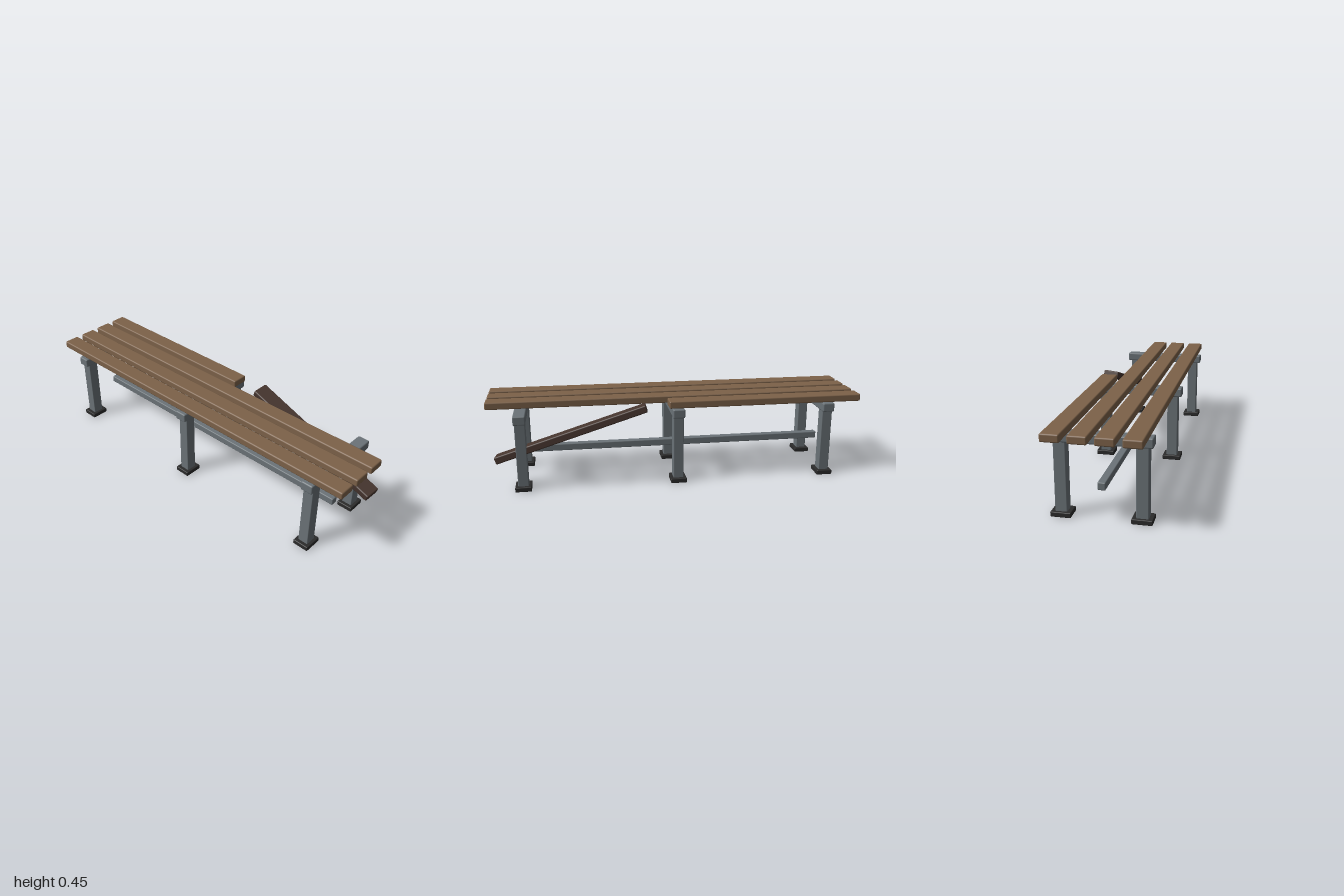
import * as THREE from 'three';
import { RoundedBoxGeometry } from 'three/addons/geometries/RoundedBoxGeometry.js';

const material = (name, color) => {
  const m = new THREE.MeshStandardMaterial({ color });
  m.name = name;
  return m;
};

export function createModel() {
  const wood = material('weathered wood', 0x7d6249);
  const darkWood = material('dark broken wood', 0x46352e);
  const steel = material('grey steel', 0x6b7378);
  const rubber = material('black foot', 0x2b2b2b);

  const bench = new THREE.Group();
  bench.name = 'bench';

  // Box with softly rounded edges
  const addBox = (parent, name, mat, size, position, radius) => {
    const mesh = new THREE.Mesh(new RoundedBoxGeometry(...size, 2, radius), mat);
    mesh.name = name;
    mesh.position.set(...position);
    parent.add(mesh);
    return mesh;
  };

  // Three trestle frames: crossbar, two legs, two feet
  const midZ = 0.004;
  for (const [name, x] of [['rightFrame', -0.82], ['middleFrame', -0.002], ['leftFrame', 0.82]]) {
    const frame = new THREE.Group();
    frame.name = name;
    frame.position.set(x, 0, midZ);
    addBox(frame, 'crossbar', steel, [0.064, 0.048, 0.478], [0, 0.386, 0], 0.007);
    for (const [side, s] of [['front', 1], ['back', -1]]) {
      addBox(frame, side + 'Leg', steel, [0.055, 0.36, 0.058], [0, 0.195, s * 0.19], 0.004);
      addBox(frame, side + 'Foot', rubber, [0.085, 0.025, 0.098], [0, 0.0125, s * 0.19], 0.004);
    }
    bench.add(frame);
  }

  // Long rail running under the seat
  addBox(bench, 'stretcher', steel, [1.68, 0.038, 0.038], [0, 0.161, midZ], 0.005);

  // Three whole slats and one snapped short at the back
  const slatHeight = 0.039, slatDepth = 0.088, slatY = 0.432;
  [0.184, 0.063, -0.057].forEach((z, i) =>
    addBox(bench, 'slat' + (i + 1), wood, [2, slatHeight, slatDepth], [0, slatY, z], 0.007));
  addBox(bench, 'brokenSlat', wood, [1.047, slatHeight, slatDepth], [-0.4765, slatY, -0.178], 0.007);

  // Loose piece hanging off the back corner
  const fallen = addBox(bench, 'fallenSlat', darkWood, [0.83, slatHeight, slatDepth], [0.56, 0.2915, -0.18], 0.007);
  fallen.rotation.set(0.1, -0.052, -0.318, 'YZX');

  return bench;
}
